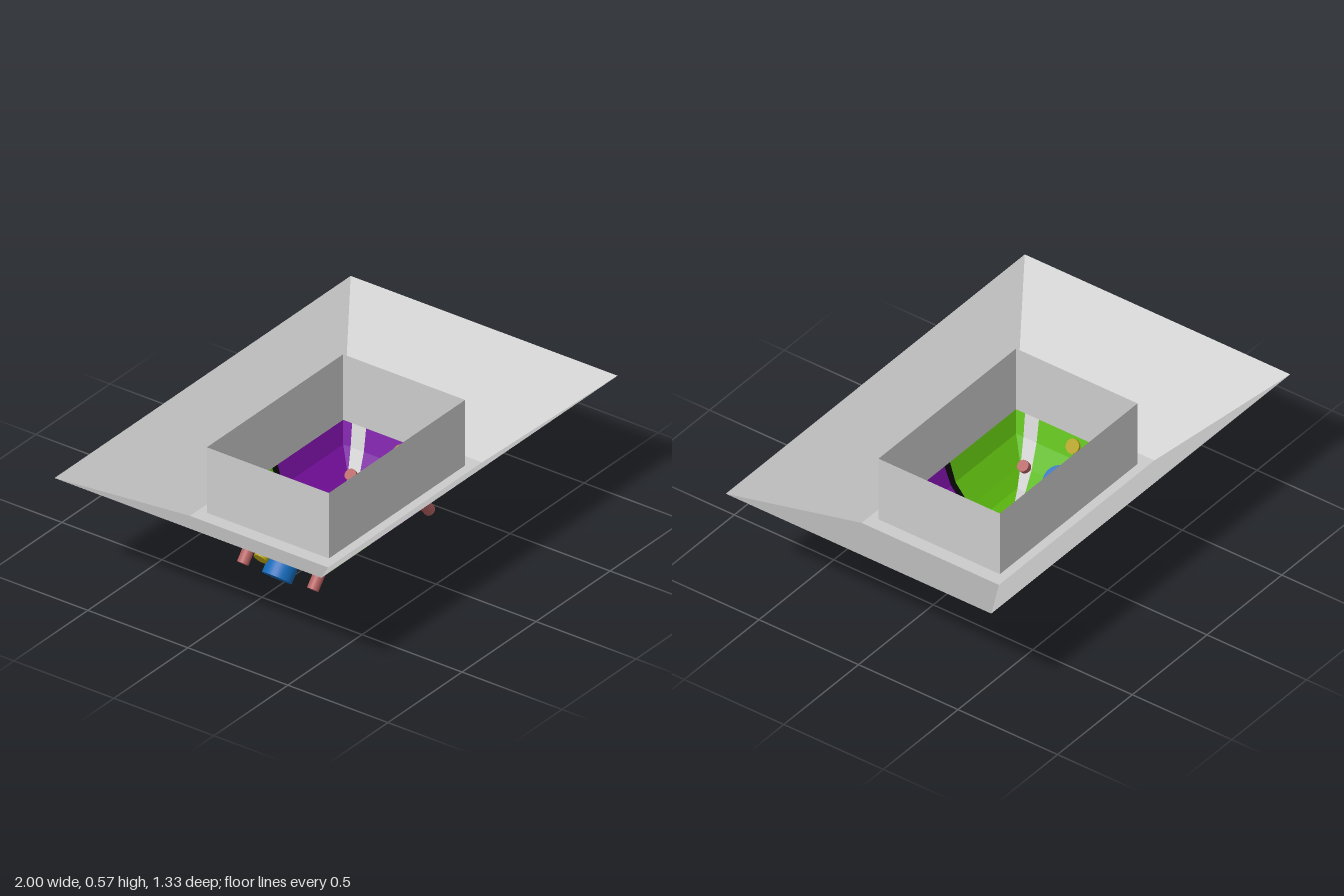
import * as THREE from 'three';

const mat = (color) => new THREE.MeshStandardMaterial({ color, side: THREE.DoubleSide, flatShading: true });

// Flat-shaded mesh from four-cornered panels
function panels(name, quads, material) {
  const pos = [];
  for (const [a, b, c, d] of quads) pos.push(...a, ...b, ...c, ...a, ...c, ...d);
  const g = new THREE.BufferGeometry();
  g.setAttribute('position', new THREE.Float32BufferAttribute(pos, 3));
  g.computeVertexNormals();
  const m = new THREE.Mesh(g, material);
  m.name = name;
  return m;
}

// Four walls between two rectangles given as [halfX, halfZ, y]
function rectLoft([x0, z0, y0], [x1, z1, y1]) {
  const s = [[1, 1], [1, -1], [-1, -1], [-1, 1]];
  return s.map(([a, b], i) => {
    const [c, d] = s[(i + 1) % 4];
    return [[a * x0, y0, b * z0], [c * x0, y0, d * z0], [c * x1, y1, d * z1], [a * x1, y1, b * z1]];
  });
}

// Cylinder running between two points
function rod(name, from, to, radius, material) {
  const a = new THREE.Vector3(...from), b = new THREE.Vector3(...to);
  const m = new THREE.Mesh(new THREE.CylinderGeometry(radius, radius, a.distanceTo(b), 32), material);
  m.position.copy(a).add(b).multiplyScalar(0.5);
  m.quaternion.setFromUnitVectors(new THREE.Vector3(0, 1, 0), b.sub(a).normalize());
  m.name = name;
  return m;
}

export function createModel() {
  const model = new THREE.Group();
  const grey = mat(0xcccccc), black = mat(0x080808), green = mat(0x5cb80f), purple = mat(0x760f9e);
  const smooth = (color) => new THREE.MeshStandardMaterial({ color });
  const blue = smooth(0x1469b8), yellow = smooth(0xb3a014), pink = smooth(0xb36060), dark = smooth(0x080808);

  // Flared skirt, flat ledge and upright collar
  const rim = [0.46, 0.305, 0.27];
  const ledge = [0.52, 0.345, 0.27];
  model.add(panels('flaredSkirt', rectLoft(ledge, [1, 0.667, 0.56]), grey));
  model.add(panels('ledge', rectLoft(ledge, rim), grey));
  model.add(panels('collar', rectLoft(rim, [0.46, 0.305, 0.575]), grey));

  // Bowl rings: y, half length x, half width z, stripe outer z, stripe inner z, centre band half width
  const rings = [
    [0.27, 0.46, 0.305, 0.26, 0.19, 0.018],
    [0.185, 0.42, 0.275, 0.238, 0.172, 0.015],
    [0.1, 0.35, 0.2, 0.2, 0.145, 0.012],
    [0.055, 0.27, 0.155, 0.155, 0.115, 0.008],
    [0.035, 0.18, 0.107, 0.107, 0.085, 0.005],
  ];
  const last = rings[rings.length - 1];
  const [fy, fx, fz, , fe, fw] = last;
  const stripes = [], band = [];
  for (const side of [-1, 1]) {
    const shell = [];
    for (let i = 0; i < rings.length - 1; i++) {
      const [y0, x0, z0, s0, e0, w0] = rings[i];
      const [y1, x1, z1, s1, e1, w1] = rings[i + 1];
      const quad = (a, b, c, d) => [
        [side * a[0], y0, a[1]], [side * b[0], y0, b[1]], [side * c[0], y1, c[1]], [side * d[0], y1, d[1]]];
      for (const k of [-1, 1]) {
        shell.push(quad([w0, k * z0], [x0, k * z0], [x1, k * z1], [w1, k * z1]));
        if (s0 < z0) shell.push(quad([x0, k * z0], [x0, k * s0], [x1, k * s1], [x1, k * z1]));
        stripes.push(quad([x0, k * s0], [x0, k * e0], [x1, k * e1], [x1, k * s1]));
        band.push(quad([0, k * z0], [w0, k * z0], [w1, k * z1], [0, k * z1]));
      }
      shell.push(quad([x0, e0], [x0, -e0], [x1, -e1], [x1, e1]));
    }
    // Floor half
    const floor = (xa, xb, za, zb) => [
      [side * xa, fy, za], [side * xb, fy, za], [side * xb, fy, zb], [side * xa, fy, zb]];
    shell.push(floor(fw, fx, -fe, fe));
    band.push(floor(0, fw, -fe, fe));
    for (const k of [-1, 1]) stripes.push(floor(0, fx, k * fe, k * fz));
    model.add(panels(side > 0 ? 'leftBowlHalf' : 'rightBowlHalf', shell, side > 0 ? purple : green));
  }
  model.add(panels('bowlStripes', stripes, grey));
  model.add(panels('centreBand', band, black));

  // Nozzles on both ends
  for (const s of [-1, 1]) {
    const end = new THREE.Group();
    end.name = s > 0 ? 'leftNozzles' : 'rightNozzles';
    end.add(rod('mainNozzle', [s * 0.329, 0.128, 0], [s * 0.4, 0.044, 0], 0.065, blue));
    end.add(rod('mainNozzleCollar', [s * 0.335, 0.121, 0], [s * 0.349, 0.105, 0], 0.068, dark));
    end.add(rod('upperNozzle', [s * 0.43, 0.24, 0], [s * 0.512, 0.185, 0], 0.031, yellow));
    for (const k of [-1, 1]) {
      end.add(rod('sideNozzle', [s * 0.332, 0.122, k * 0.175], [s * 0.394, 0.048, k * 0.175], 0.025, pink));
    }
    model.add(end);
  }
  return model;
}
